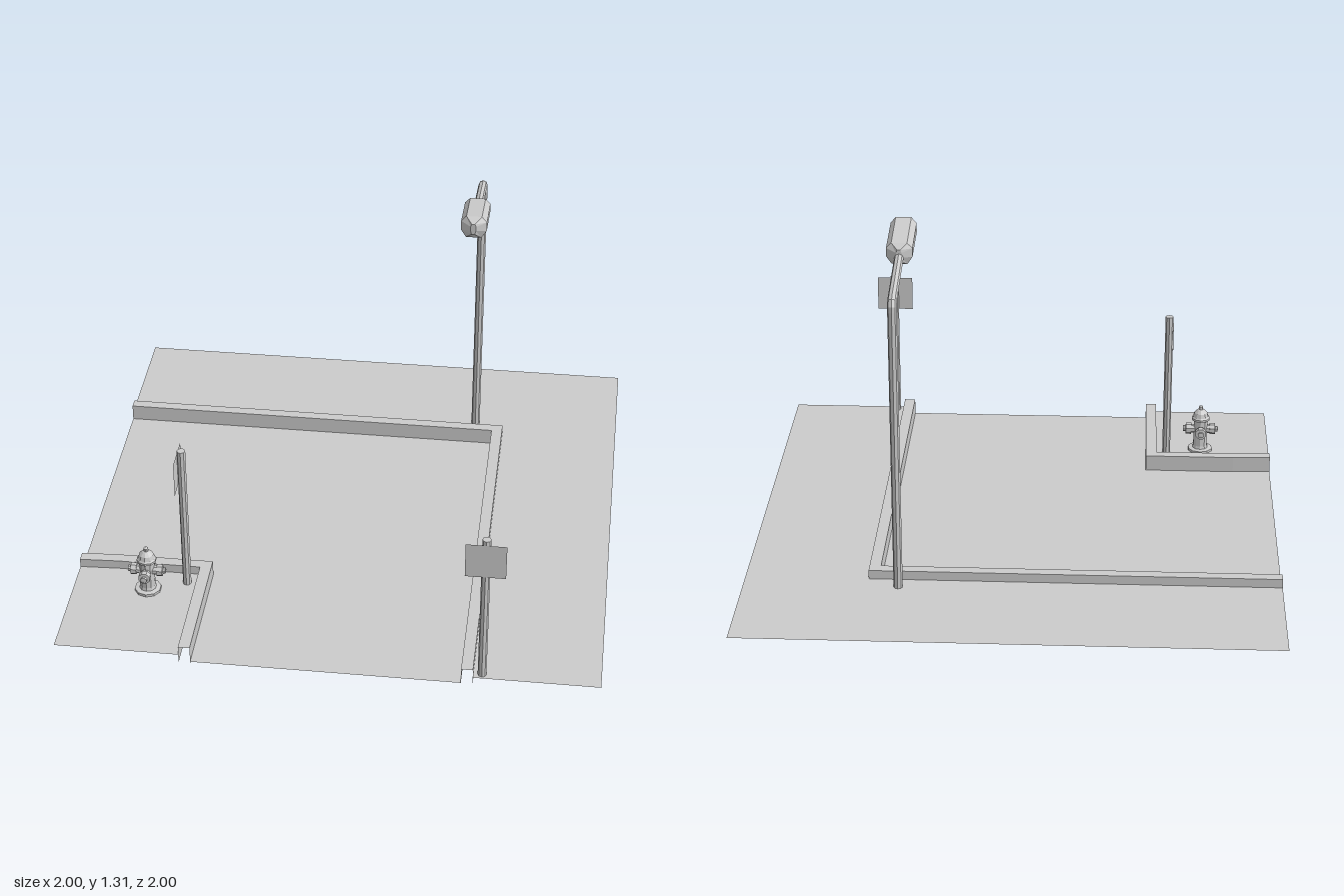
import * as THREE from 'three';

const grey = new THREE.MeshStandardMaterial({ color: 0xcccccc, flatShading: true });
const thin = new THREE.MeshStandardMaterial({ color: 0xcccccc, flatShading: true, side: THREE.DoubleSide });

function add(parent, name, geometry, x = 0, y = 0, z = 0, material = grey) {
  const mesh = new THREE.Mesh(geometry, material);
  mesh.name = name;
  mesh.position.set(x, y, z);
  parent.add(mesh);
  return mesh;
}

// Skin a list of equal-length rows of [x, y, z] points with flat quads
function skin(rows, closed) {
  const out = [];
  for (let i = 0; i < rows.length - 1; i++) {
    const n = rows[i].length;
    for (let j = 0; j < (closed ? n : n - 1); j++) {
      const k = (j + 1) % n;
      const a = rows[i][j], b = rows[i][k], c = rows[i + 1][k], d = rows[i + 1][j];
      out.push(...a, ...b, ...c, ...a, ...c, ...d);
    }
  }
  const g = new THREE.BufferGeometry();
  g.setAttribute('position', new THREE.Float32BufferAttribute(out, 3));
  g.computeVertexNormals();
  return g;
}

// Kerb: open-bottomed channel between two matching [x, z] edge paths
function kerb(edgeA, edgeB, height) {
  return skin(edgeA.map(([ax, az], i) => {
    const [bx, bz] = edgeB[i];
    return [[ax, 0, az], [ax, height, az], [bx, height, bz], [bx, 0, bz]];
  }), false);
}

// Level surface inside an outline of [x, z] points
function level(outline) {
  const shape = new THREE.Shape(outline.map(([x, z]) => new THREE.Vector2(x, -z)));
  return new THREE.ShapeGeometry(shape).rotateX(-Math.PI / 2);
}

// Lamp head: octagonal sections given as [z, low y, high y, half width]
function lampHead(sections) {
  const rows = sections.map(([z, lo, hi, w]) => {
    const m = (lo + hi) / 2, h = (hi - lo) / 2;
    return [[1, -0.3], [1, 0.5], [0.6, 1], [-0.6, 1], [-1, 0.5], [-1, -0.3], [-0.6, -1], [0.6, -1]]
      .map(([u, v]) => [u * w, m + v * h, z]);
  });
  // collapse both ends to close the shell
  const cap = ([z, lo, hi]) => Array.from({ length: 8 }, () => [0, (lo + hi) / 2, z]);
  return skin([cap(sections[0]), ...rows, cap(sections[sections.length - 1])], true);
}

function lathe(points, sides) {
  return new THREE.LatheGeometry(points.map(([r, y]) => new THREE.Vector2(r, y)), sides);
}

// Sign: post with a thin square plate in front of it
function sign(name) {
  const g = new THREE.Group();
  g.name = name;
  add(g, 'signPost', new THREE.CylinderGeometry(0.016, 0.016, 0.617, 8), 0, 0.3415, 0);
  add(g, 'signPlate', new THREE.PlaneGeometry(0.145, 0.14), 0, 0.565, 0.0165, thin);
  return g;
}

function hydrant() {
  const g = new THREE.Group();
  g.name = 'hydrant';
  add(g, 'hydrantBody', lathe([
    [0, 0], [0.05, 0], [0.05, 0.014], [0.032, 0.017], [0.029, 0.028], [0.029, 0.138],
    [0.037, 0.14], [0.037, 0.149], [0.032, 0.155], [0.027, 0.171], [0.015, 0.183],
    [0.009, 0.186], [0.009, 0.198], [0, 0.201]], 10));
  // four capped outlets
  const outlet = lathe([
    [0.018, 0.02], [0.018, 0.038], [0.023, 0.038], [0.023, 0.06],
    [0.012, 0.061], [0.012, 0.071], [0, 0.072]], 8);
  outlet.rotateY(Math.PI / 8).rotateX(Math.PI / 2);
  for (let i = 0; i < 4; i++) {
    add(g, 'hydrantOutlet', outlet, 0, 0.098, 0).rotation.y = i * Math.PI / 2;
  }
  return g;
}

function streetLamp() {
  const g = new THREE.Group();
  g.name = 'streetLamp';
  const v = (y, z) => new THREE.Vector3(0, y, z);
  const path = new THREE.CurvePath();
  path.add(new THREE.LineCurve3(v(0.017, -0.596), v(1.15, -0.596)));
  path.add(new THREE.QuadraticBezierCurve3(v(1.15, -0.596), v(1.175, -0.596), v(1.18, -0.57)));
  path.add(new THREE.LineCurve3(v(1.18, -0.57), v(1.235, -0.28)));
  add(g, 'lampPole', new THREE.TubeGeometry(path, 80, 0.017, 8), 0, 0, 0, thin);
  add(g, 'lampHead', lampHead([
    [-0.31, 1.215, 1.262, 0.01],
    [-0.288, 1.2, 1.281, 0.048],
    [-0.1, 1.222, 1.311, 0.048],
    [-0.065, 1.255, 1.298, 0.01]]));
  return g;
}

export function createModel() {
  const model = new THREE.Group();
  model.name = 'streetCorner';

  // Kerb edges: walk side and road side of each
  const outerWalk = [[-1, -0.54], [0.538, -0.54], [0.538, 1]];
  const outerRoad = [[-1, -0.5], [0.495, -0.5], [0.495, 1]];
  const innerRoad = [[-1, 0.495], [-0.85, 0.488], [-0.495, 0.488], [-0.495, 1]];
  const innerWalk = [[-1, 0.535], [-0.85, 0.528], [-0.538, 0.528], [-0.538, 1]];

  // Pavements and the lower road between them
  add(model, 'outerPavement', level([...outerWalk, [1, 1], [1, -1], [-1, -1]]), 0, 0.037, 0, thin);
  add(model, 'cornerPavement', level([...innerWalk, [-1, 1]]), 0, 0.037, 0, thin);
  add(model, 'road', level([...outerRoad, ...innerRoad.slice().reverse()]), 0, 0.008, 0, thin);

  // Kerbs
  add(model, 'outerKerb', kerb(outerWalk, outerRoad, 0.072), 0, 0, 0, thin);
  add(model, 'innerKerb', kerb(innerRoad, innerWalk, 0.072), 0, 0, 0, thin);

  // Street furniture
  const lamp = streetLamp();
  lamp.position.x = 0.423;
  const frontSign = sign('frontSign');
  frontSign.position.set(0.57, 0, 0.977);
  const sideSign = sign('sideSign');
  sideSign.position.set(-0.578, 0, 0.583);
  sideSign.rotation.y = -Math.PI / 2;
  const fireHydrant = hydrant();
  fireHydrant.position.set(-0.718, 0.033, 0.637);
  model.add(lamp, frontSign, sideSign, fireHydrant);
  return model;
}
